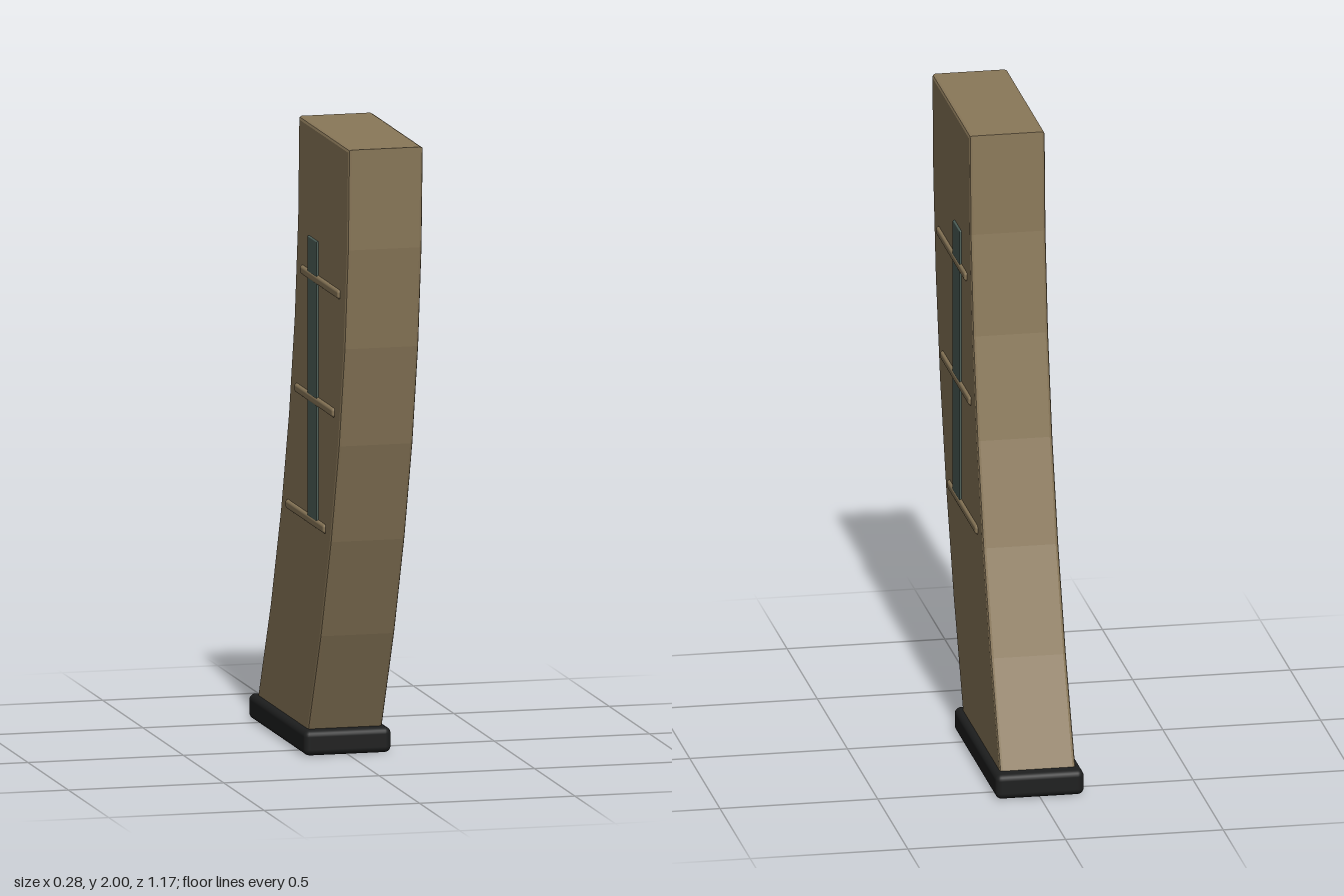
import * as THREE from 'three';
import { RoundedBoxGeometry } from 'three/addons/geometries/RoundedBoxGeometry.js';

const mat = (name, color) => {
  const m = new THREE.MeshStandardMaterial({ color });
  m.name = name;
  return m;
};

export function createModel() {
  const group = new THREE.Group();
  const tan = mat('tan shell', 0x8a7859);
  const smoke = mat('smoky window', 0x4e6059);
  const black = mat('black base', 0x1e1f1f);

  const add = (name, geometry, material, x, y, z) => {
    const mesh = new THREE.Mesh(geometry, material);
    mesh.name = name;
    mesh.position.set(x, y, z);
    group.add(mesh);
  };

  // Curved body: side profile of [y, front z, back z] rows, extruded across x
  const rows = [
    [0.07, 0.076, -0.545], [0.40, 0.234, -0.387], [0.72, 0.36, -0.261], [1.04, 0.46, -0.163],
    [1.36, 0.531, -0.092], [1.68, 0.573, -0.05], [2, 0.587, -0.036],
  ];
  const outline = [
    ...rows.map(([y, , back]) => new THREE.Vector2(back, y)),
    ...rows.slice().reverse().map(([y, front]) => new THREE.Vector2(front, y)),
  ];
  const halfWidth = 0.12, bevel = 0.01;
  const body = new THREE.ExtrudeGeometry(new THREE.Shape(outline), {
    depth: 2 * (halfWidth - bevel), bevelThickness: bevel, bevelSize: bevel,
    bevelOffset: -bevel, bevelSegments: 2,
  });
  body.translate(0, 0, -(halfWidth - bevel));
  body.rotateY(-Math.PI / 2);
  add('body', body, tan, 0, 0, 0);

  // Base plate
  add('basePlate', new RoundedBoxGeometry(0.28, 0.08, 0.705, 3, 0.02), black, 0, 0.04, -0.233);

  // Inset window and grip ribs, mirrored on both sides
  for (const [side, label] of [[1, 'left'], [-1, 'right']]) {
    add(label + 'Window', new RoundedBoxGeometry(0.02, 0.89, 0.115, 2, 0.003), smoke, side * 0.1165, 1.2, 0.153);
    for (const [y, z] of [[1.523, 0.243], [1.137, 0.174], [0.75, 0.063]]) {
      add(label + 'Rib', new RoundedBoxGeometry(0.028, 0.03, 0.474, 3, 0.01), tan, side * 0.1145, y, z);
    }
  }
  return group;
}
